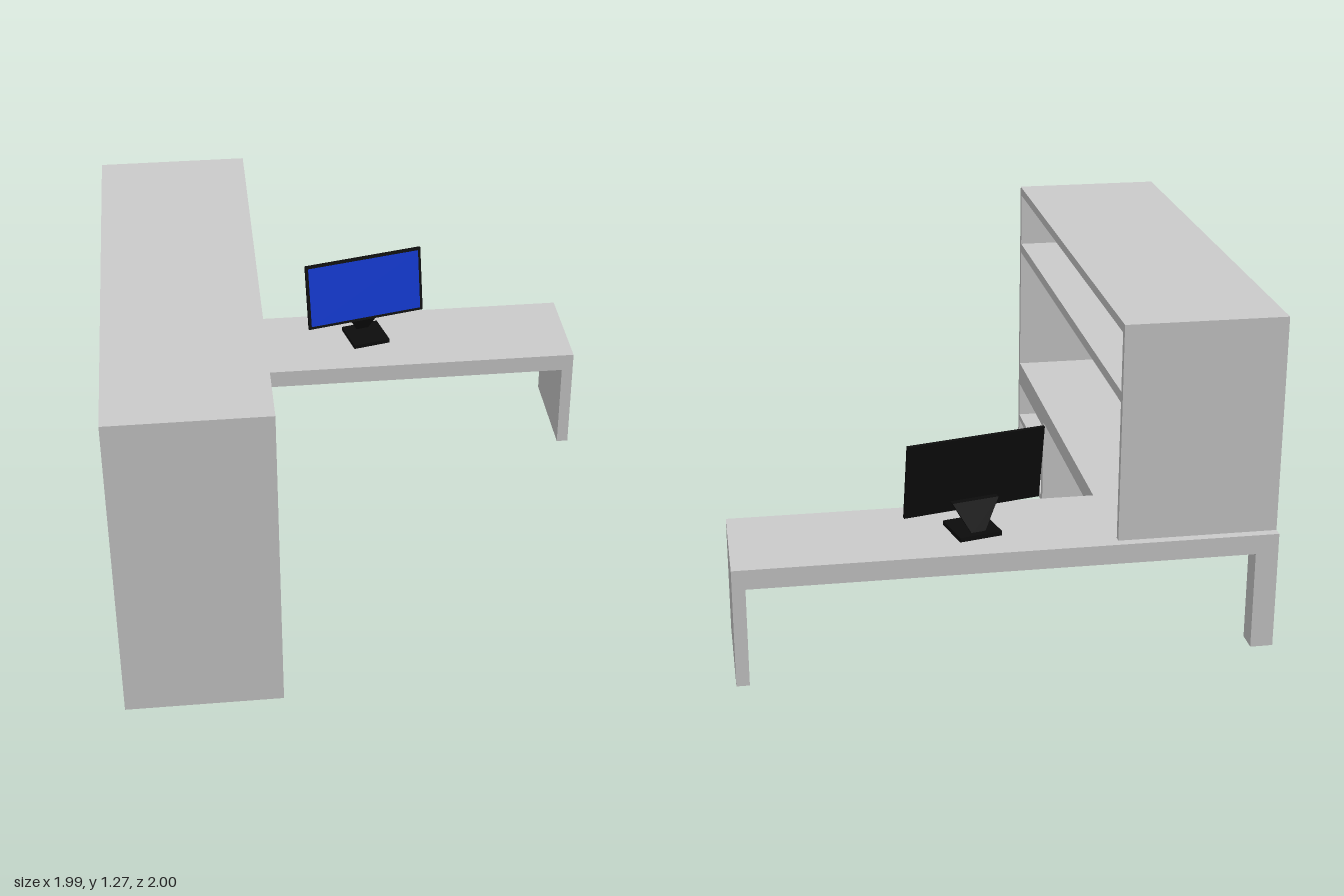
import * as THREE from 'three';

const X0 = -0.993, X1 = 0.993, XI = -0.40;   // outer ends and inner edge of the side wing
const GREY = 0xcccccc, BLACK = 0x0c0c0c, BLUE = 0x1038d0;

function material(color) {
  return new THREE.MeshStandardMaterial({ color, flatShading: true });
}

// Box given by its minimum and maximum on each axis
function slab(name, [xa, xb], [ya, yb], [za, zb], mat) {
  const mesh = new THREE.Mesh(new THREE.BoxGeometry(xb - xa, yb - ya, zb - za), mat);
  mesh.position.set((xa + xb) / 2, (ya + yb) / 2, (za + zb) / 2);
  mesh.name = name;
  return mesh;
}

// L-shaped top, legs
function createDesk(grey) {
  const g = new THREE.Group();
  g.name = 'desk';
  // outline in (x, -z), so that the extrusion can be laid flat
  const outline = new THREE.Shape([
    [X0, -0.975], [XI, -0.975], [XI, 0.55], [X1, 0.55], [X1, 1], [X0, 1],
  ].map(([x, y]) => new THREE.Vector2(x, y)));
  const top = new THREE.Mesh(
    new THREE.ExtrudeGeometry(outline, { depth: 0.075, bevelEnabled: false }), grey);
  top.rotation.x = -Math.PI / 2;
  top.position.y = 0.38;
  top.name = 'deskTop';
  g.add(top);
  g.add(slab('endPanelLeg', [0.945, X1], [0, 0.38], [-1, -0.55], grey));
  g.add(slab('cornerLeg', [X0, X0 + 0.085], [0, 0.38], [-1, -0.915], grey));
  return g;
}

// Open shelf unit above the side wing, with a front panel down to the floor
function createHutch(grey) {
  const g = new THREE.Group();
  g.name = 'hutch';
  const x = [X0, XI];
  g.add(slab('frontPanel', x, [0, 1.275], [0.975, 1], grey));
  g.add(slab('backPanel', x, [0.455, 1.275], [-0.965, -0.94], grey));
  g.add(slab('hutchTop', x, [1.24, 1.275], [-0.94, 0.975], grey));
  g.add(slab('hutchShelf', x, [0.98, 1.02], [-0.94, 0.975], grey));
  return g;
}

// Two open compartments under the desk
function createCabinet(grey) {
  const g = new THREE.Group();
  g.name = 'cabinet';
  const x = [X0, XI], xBack = X0 + 0.025;
  g.add(slab('cabinetSide', x, [0, 0.38], [0.42, 0.45], grey));
  g.add(slab('cabinetBack', [X0, xBack], [0, 0.38], [0.45, 0.975], grey));
  for (const y of [[0, 0.03], [0.18, 0.205], [0.355, 0.38]]) {
    g.add(slab('cabinetShelf', [xBack, XI], y, [0.45, 0.975], grey));
  }
  return g;
}

// Tilted screen on a flared neck and square foot, turned towards the seat
function createMonitor() {
  const g = new THREE.Group();
  g.name = 'monitor';
  const black = material(BLACK);
  g.add(slab('monitorFoot', [-0.082, 0.082], [0.458, 0.475], [-0.084, 0.084], black));

  // neck: narrow at the foot, wider and further forward at the screen
  const neckGeo = new THREE.BoxGeometry(1, 1, 1);
  const p = neckGeo.attributes.position;
  for (let i = 0; i < p.count; i++) {
    const up = p.getY(i) > 0;
    p.setXYZ(i,
      p.getX(i) * (up ? 0.18 : 0.05),
      up ? 0.59 : 0.47,
      p.getZ(i) * (up ? 0.025 : 0.014) + (up ? -0.02 : -0.052));
  }
  neckGeo.computeVertexNormals();
  const neck = new THREE.Mesh(neckGeo, black);
  neck.name = 'monitorNeck';
  g.add(neck);

  const screen = new THREE.Group();
  screen.name = 'screen';
  const w = 0.265, h = 0.147, rim = 0.012;
  screen.add(slab('screenCase', [-w, w], [-h, h], [-0.006, 0.006], black));
  screen.add(slab('screenFace', [-w + rim, w - rim], [-h + rim, h - rim],
    [0.004, 0.0075], material(BLUE)));
  screen.position.set(0, 0.695, -0.017);
  screen.rotation.x = -0.147;
  g.add(screen);

  g.position.set(0.107, 0, -0.797);
  g.rotation.y = 0.235;
  return g;
}

export function createModel() {
  const model = new THREE.Group();
  model.name = 'cornerDesk';
  const grey = material(GREY);
  model.add(createDesk(grey), createHutch(grey), createCabinet(grey), createMonitor());
  return model;
}
